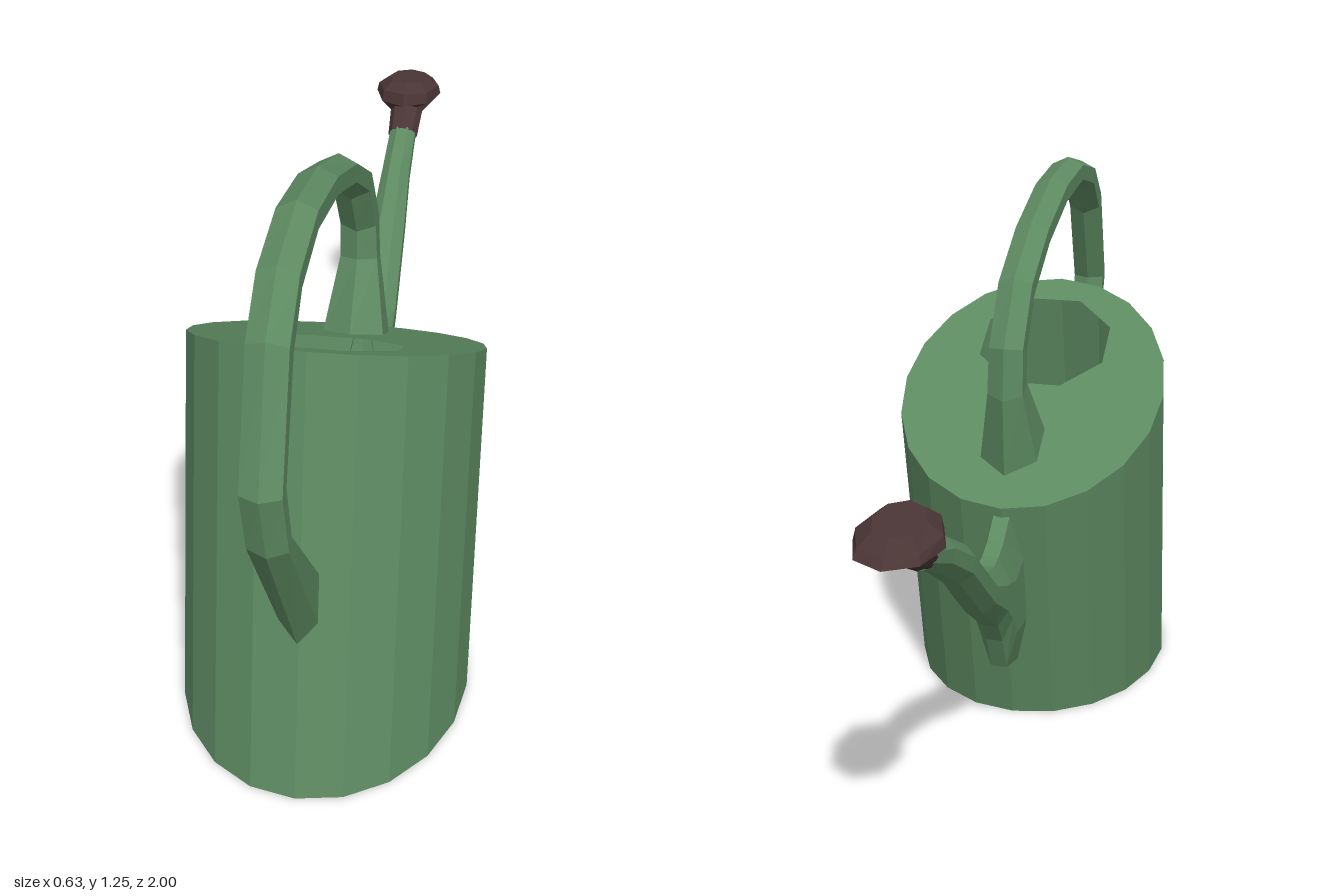
import * as THREE from 'three';

const green = new THREE.MeshStandardMaterial({ color: 0x5d8a61, flatShading: true, side: THREE.DoubleSide });
const brown = new THREE.MeshStandardMaterial({ color: 0x4a3535, flatShading: true, side: THREE.DoubleSide });

function add(group, name, geometry, material) {
  const mesh = new THREE.Mesh(geometry, material);
  mesh.name = name;
  group.add(mesh);
}

// Skin over rings [zA, yA, zB, yB, halfWidth, x]; A and B are the outer and inner silhouette points.
function loft(rings, sides, flat = false) {
  const pos = [], index = [];
  const phase = flat ? Math.PI / sides : 0;
  const grow = flat ? 1 / Math.cos(phase) : 1;
  rings.forEach(([zA, yA, zB, yB, w, x = 0]) => {
    for (let k = 0; k < sides; k++) {
      const t = phase + (k / sides) * Math.PI * 2;
      const c = Math.cos(t) * grow / 2;
      pos.push(x + Math.sin(t) * w * grow, (yA + yB) / 2 + c * (yA - yB), (zA + zB) / 2 + c * (zA - zB));
    }
  });
  for (let i = 0; i < rings.length - 1; i++) {
    for (let k = 0; k < sides; k++) {
      const a = i * sides + k, b = i * sides + (k + 1) % sides;
      index.push(a, b, b + sides, a, b + sides, a + sides);
    }
  }
  // end cap
  const last = (rings.length - 1) * sides;
  for (let k = 1; k < sides - 1; k++) index.push(last, last + k, last + k + 1);
  const g = new THREE.BufferGeometry();
  g.setAttribute('position', new THREE.Float32BufferAttribute(pos, 3));
  g.setIndex(index);
  g.computeVertexNormals();
  return g;
}

// Polygon ring of 2D points in (x, -z)
function ellipse(cz, rx, rz, sides, phase = 0) {
  return Array.from({ length: sides }, (_, k) => {
    const t = phase + (k / sides) * Math.PI * 2;
    return new THREE.Vector2(Math.sin(t) * rx, -(cz + Math.cos(t) * rz));
  });
}

const SIDES = 20, RX = 0.315;
const BOTTOM = { z: 0.437, r: 0.395 }, TOP = { z: 0.265, r: 0.355 };
const topY = z => 0.77 + 0.479 * (z - TOP.z);

function createBody(group) {
  // leaning oval wall with a slanted rim
  const wall = new THREE.CylinderGeometry(1, 1, 1, SIDES, 1, true);
  const p = wall.attributes.position;
  for (let i = 0; i < p.count; i++) {
    const upper = p.getY(i) > 0;
    const end = upper ? TOP : BOTTOM;
    const z = end.z + p.getZ(i) * end.r;
    p.setXYZ(i, p.getX(i) * RX, upper ? topY(z) : 0, z);
  }
  wall.computeVertexNormals();
  add(group, 'bodyWall', wall, green);

  // slanted lid with an octagonal filling hole
  const shape = new THREE.Shape(ellipse(TOP.z, RX, TOP.r, SIDES));
  shape.holes.push(new THREE.Path(ellipse(0.41, 0.165, 0.148, 8, Math.PI / 8)));
  const lid = new THREE.ShapeGeometry(shape).rotateX(-Math.PI / 2);
  const q = lid.attributes.position;
  for (let i = 0; i < q.count; i++) q.setY(i, topY(q.getZ(i)));
  lid.computeVertexNormals();
  add(group, 'lid', lid, green);

  // base
  const base = new THREE.ShapeGeometry(new THREE.Shape(ellipse(BOTTOM.z, RX, BOTTOM.r, SIDES)));
  base.rotateX(-Math.PI / 2).scale(1, 1, 1);
  const idx = base.index.array;
  for (let i = 0; i < idx.length; i += 3) [idx[i], idx[i + 1]] = [idx[i + 1], idx[i]];
  base.computeVertexNormals();
  add(group, 'base', base, green);
}

export function createModel() {
  const group = new THREE.Group();
  group.name = 'wateringCan';
  createBody(group);

  // hexagonal handle, from the front wall over to the lid
  add(group, 'handle', loft([
    [0.752, 0.34, 0.705, 0.545, 0.046, -0.003],
    [0.97, 0.72, 0.92, 0.755, 0.045, -0.01],
    [1.0, 0.86, 0.93, 0.86, 0.045, -0.014],
    [0.9, 1.12, 0.84, 1.06, 0.045, -0.015],
    [0.79, 1.21, 0.76, 1.14, 0.045, -0.015],
    [0.62, 1.253, 0.62, 1.18, 0.045, -0.012],
    [0.44, 1.24, 0.44, 1.165, 0.045, -0.006],
    [0.24, 1.18, 0.265, 1.11, 0.045, 0],
    [0.08, 1.09, 0.125, 1.025, 0.045, 0.006],
    [-0.01, 0.95, 0.075, 0.925, 0.045, 0.01],
    [-0.02, 0.83, 0.08, 0.86, 0.047, 0.011],
    [0.0, 0.64, 0.19, 0.73, 0.077, 0.012],
  ], 6), green);

  // spout, deep at the root and curving up to the tip
  add(group, 'spout', loft([
    [-0.07, 0.585, 0.02, 0.162, 0.045],
    [-0.14, 0.543, -0.11, 0.208, 0.045],
    [-0.19, 0.528, -0.155, 0.3, 0.045],
    [-0.235, 0.525, -0.2, 0.36, 0.045],
    [-0.3, 0.54, -0.345, 0.465, 0.045],
    [-0.48, 0.69, -0.53, 0.625, 0.042],
    [-0.62, 0.77, -0.66, 0.71, 0.035],
    [-0.76, 0.823, -0.785, 0.775, 0.033],
  ], 8, true), green);

  // sprinkler rose with its neck and domed face
  add(group, 'rose', loft([
    [-0.752, 0.823, -0.78, 0.77, 0.038],
    [-0.82, 0.86, -0.86, 0.815, 0.042],
    [-0.77, 0.875, -1.0, 0.873, 0.085],
    [-0.78, 0.905, -0.985, 0.886, 0.08],
    [-0.81, 0.925, -0.95, 0.911, 0.05],
  ], 8), brown);

  return group;
}
